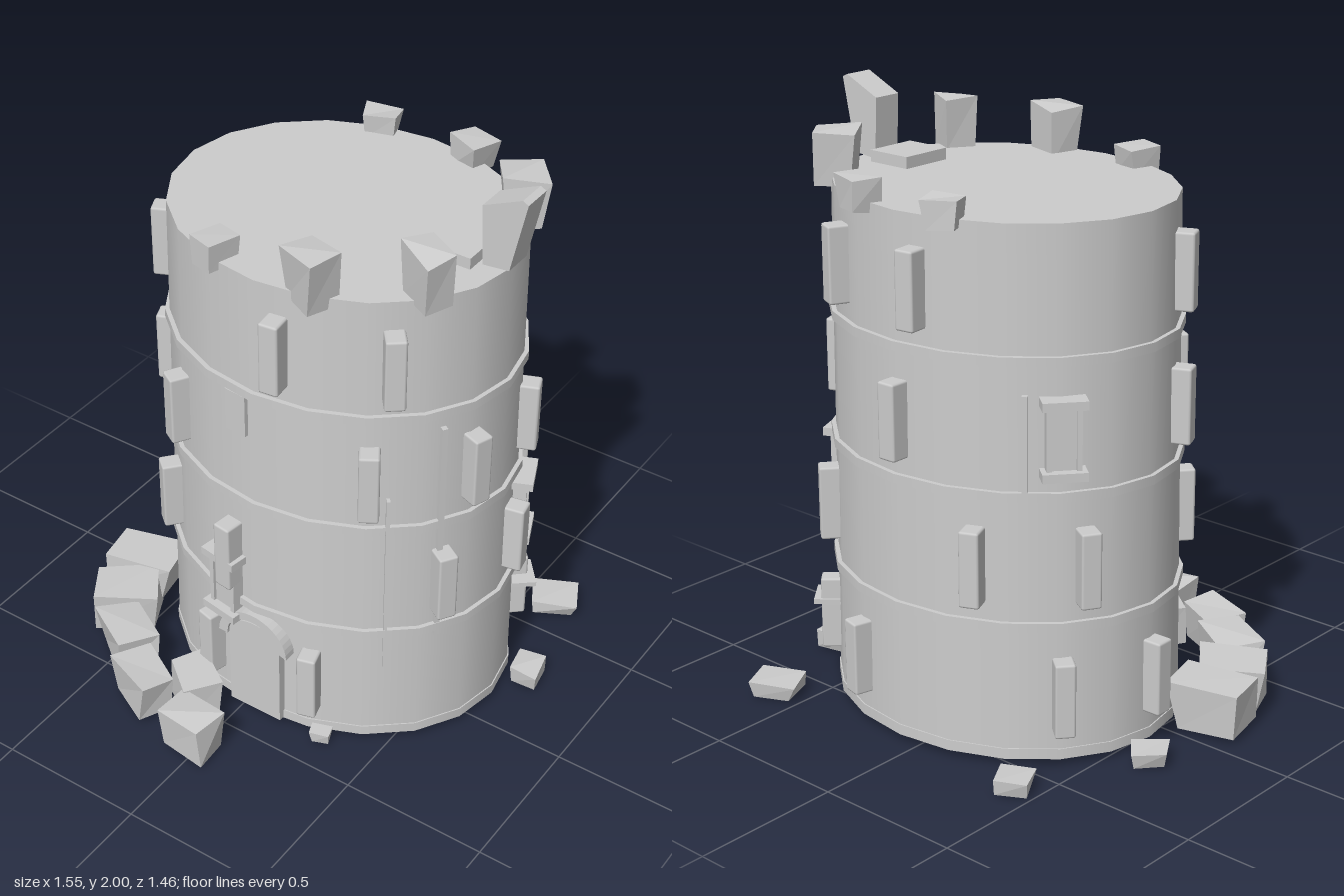
import * as THREE from 'three';
import { RoundedBoxGeometry } from 'three/addons/geometries/RoundedBoxGeometry.js';

const CX = 0.065, CZ = -0.11, Y0 = 0.025, Y1 = 1.74;

export function createModel() {
  const model = new THREE.Group();
  const stone = new THREE.MeshStandardMaterial({ color: 0xcccccc });
  stone.name = 'stone';

  let seed = 7;
  const rand = () => {
    seed = (seed * 16807) % 2147483647;
    return seed / 2147483647 - 0.5;
  };
  const add = (parent, name, geometry, x = 0, y = 0, z = 0) => {
    const mesh = new THREE.Mesh(geometry, stone);
    mesh.name = name;
    mesh.position.set(x, y, z);
    parent.add(mesh);
    return mesh;
  };

  // Oval radii of the slightly tapering wall at a height
  const radii = (y) => {
    const t = (y - Y0) / (Y1 - Y0);
    return [0.605 - 0.02 * t, 0.507 - 0.015 * t];
  };
  // Oval drum between two heights, standing proud of the wall
  const drum = (name, y0, y1, proud) => {
    const [bx, bz] = radii(y0), [tx] = radii(y1);
    const g = new THREE.CylinderGeometry((tx + proud) / (bx + proud), 1, y1 - y0, 20);
    g.scale(bx + proud, 1, bz + proud);
    add(model, name, g, CX, (y0 + y1) / 2, CZ);
  };
  drum('towerWall', Y0, Y1, 0);
  drum('baseCourse', Y0, 0.06, 0.004);
  [0.475, 0.9, 1.325].forEach((y) => drum('ringCourse', y - 0.015, y + 0.015, 0.014));

  // Group on the wall at an angle, local +z facing outward
  const onWall = (name, degrees, y) => {
    const a = THREE.MathUtils.degToRad(degrees), [rx, rz] = radii(y);
    const g = new THREE.Group();
    g.name = name;
    g.position.set(CX + rx * Math.cos(a), y, CZ + rz * Math.sin(a));
    g.rotation.y = Math.atan2(Math.cos(a) / rx, Math.sin(a) / rz);
    model.add(g);
    return g;
  };

  // Four rows of upright projecting stones
  const upright = new RoundedBoxGeometry(0.066, 0.25, 0.09, 1, 0.008);
  const rows = [
    [0.245, [71, 107, 179, 215, 287, 323]],
    [0.67, [28, -9, -45, -117, -153, 135, 99]],
    [1.095, [17, 53, 125, 161, 269, 341]],
    [1.518, [82, 46, 159, -98, -62]],
  ];
  for (const [y, angles] of rows)
    for (const a of angles) add(onWall('uprightStone', a, y), 'uprightStoneBlock', upright, 0, 0, 0.012);

  // Framed slit windows with a sill and a lintel
  for (const [a, y] of [[101, 0.535], [-20, 0.73], [215, 1.09]]) {
    const w = onWall('window', a, y);
    add(w, 'windowPanel', new THREE.BoxGeometry(0.08, 0.22, 0.04), 0, 0, 0.005);
    for (const s of [-1, 1]) {
      add(w, 'windowJamb', new THREE.BoxGeometry(0.016, 0.22, 0.05), s * 0.046, 0, 0.01);
      add(w, s > 0 ? 'windowLintel' : 'windowSill',
        new THREE.BoxGeometry(0.14, 0.028, 0.09), 0, s * 0.112, 0.01);
    }
  }

  // Door leaf and its arched surround
  const door = new THREE.Group();
  door.name = 'door';
  door.position.set(CX, 0.03, 0.375);
  model.add(door);
  const leaf = new THREE.Shape();
  leaf.moveTo(-0.1, 0);
  leaf.lineTo(0.1, 0);
  leaf.lineTo(0.1, 0.31);
  leaf.absellipse(0, 0.31, 0.1, 0.07, 0, Math.PI, false);
  leaf.closePath();
  add(door, 'doorLeaf', new THREE.ExtrudeGeometry(leaf, { depth: 0.035, bevelEnabled: false, curveSegments: 10 }));
  const arch = new THREE.Shape();
  arch.moveTo(0.135, 0.3);
  arch.absellipse(0, 0.3, 0.135, 0.125, 0, Math.PI, false);
  arch.lineTo(-0.1, 0.3);
  arch.absellipse(0, 0.31, 0.1, 0.085, Math.PI, 0, true);
  arch.closePath();
  add(door, 'doorArch', new THREE.ExtrudeGeometry(arch, { depth: 0.045, bevelEnabled: false, curveSegments: 10 }));

  // Thin cracks and a raised patch on the wall
  const cracks = [[29, 0.44, 1.27, 0.018], [47, 0.33, 1.02, 0.012],
    [-133, 0.64, 1.22, 0.018], [96.5, 1.16, 1.31, 0.08]];
  for (const [a, y0, y1, w] of cracks)
    add(onWall('wallStrip', a, (y0 + y1) / 2), 'wallStripPlate', new THREE.BoxGeometry(w, y1 - y0, 0.018));
  // Small bracket beside one of the upright stones
  add(onWall('bracket', -35, 0.29), 'bracketBar', new THREE.BoxGeometry(0.12, 0.018, 0.13), 0, 0, 0.015);

  // Rough faceted stone: a box with shifted corners, y is its underside
  const rough = (name, [x, y, z, w, h, d, turn, jitter = 0.16]) => {
    const g = new THREE.BoxGeometry(w, h, d);
    const p = g.attributes.position, moved = {};
    for (let i = 0; i < p.count; i++) {
      const key = [p.getX(i), p.getY(i), p.getZ(i)].map((v) => (v > 0 ? 1 : 0)).join('');
      moved[key] ??= [rand() * w * jitter, rand() * h * jitter, rand() * d * jitter];
      const m = moved[key], k = p.getY(i) > 0 ? 1 : 0.86;
      p.setXYZ(i, p.getX(i) * k + m[0], p.getY(i) + m[1], p.getZ(i) * k + m[2]);
    }
    const flat = g.toNonIndexed();
    flat.computeVertexNormals();
    add(model, name, flat, x, y + h / 2, z).rotation.y = THREE.MathUtils.degToRad(turn);
  };

  // Broken battlement stones along the top edge
  [
    [-0.11, 1.71, 0.33, 0.11, 0.09, 0.12, -15],
    [0.24, 1.71, 0.33, 0.14, 0.17, 0.12, -20],
    [0.53, 1.73, 0.16, 0.14, 0.17, 0.11, -28],
    [0.52, 1.72, -0.39, 0.13, 0.16, 0.13, 35],
    [0.23, 1.71, -0.575, 0.12, 0.1, 0.1, -20],
    [-0.11, 1.71, -0.565, 0.11, 0.09, 0.1, 18],
  ].forEach((s) => rough('battlementStone', s));
  const tall = new THREE.Shape([[0.57, 1.74], [0.66, 1.75], [0.71, 1.99], [0.69, 2], [0.56, 1.94]]
    .map(([x, y]) => new THREE.Vector2(x, y)));
  add(model, 'tallBattlementStone', new THREE.ExtrudeGeometry(tall, { depth: 0.1, bevelEnabled: false }), 0, 0, -0.17);
  add(model, 'roofSlab', new THREE.BoxGeometry(0.16, 0.04, 0.18), 0.475, 1.758, -0.115);

  // Fallen blocks heaped by the front right corner
  [
    [-0.64, 0.02, 0.105, 0.24, 0.15, 0.16, 15],
    [-0.58, 0.02, 0.275, 0.22, 0.15, 0.17, 32],
    [-0.45, 0.02, 0.435, 0.23, 0.15, 0.15, -33],
    [-0.27, 0.02, 0.575, 0.2, 0.14, 0.13, -25],
    [-0.02, 0.02, 0.655, 0.18, 0.15, 0.13, -5],
    [-0.12, 0.02, 0.49, 0.18, 0.15, 0.14, -35],
  ].forEach((s) => rough('fallenBlock', s));

  // Small debris scattered around the foot
  [
    [-0.42, 0.005, -0.62, 0.12, 0.05, 0.12, 30],
    [-0.62, 0.005, -0.2, 0.11, 0.05, 0.11, 40],
    [0.61, 0.005, -0.64, 0.15, 0.05, 0.14, 25],
    [0.72, 0.005, -0.26, 0.1, 0.065, 0.11, 10],
    [0.31, 0.005, 0.38, 0.07, 0.04, 0.05, 20],
  ].forEach((s) => rough('debris', s));

  return model;
}
